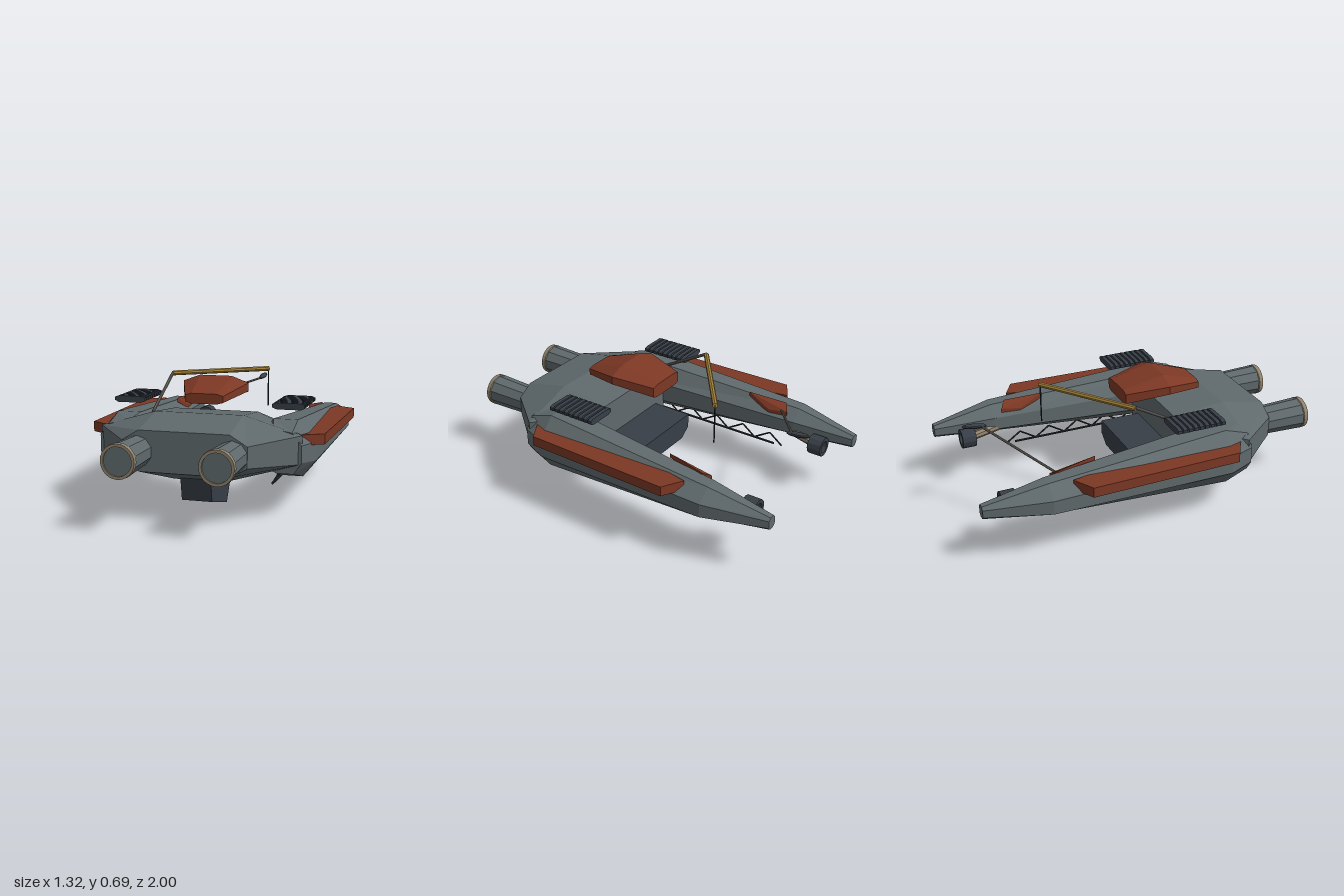
import * as THREE from 'three';
import { ConvexGeometry } from 'three/addons/geometries/ConvexGeometry.js';

const mat = (name, color) => {
  const m = new THREE.MeshStandardMaterial({ color, flatShading: true });
  m.name = name;
  return m;
};
const V = (x, y, z) => new THREE.Vector3(x, y, z);

// Completes a right-hand half outline (bottom to top) with its mirror image
const sym = (half) => [...half, ...half.map(([x, y]) => [-x, y]).reverse()];

// Skins rings of [x, y] points running from front to back; side -1 mirrors in x
function loft(sections, side = 1) {
  const rings = sections.map(([z, pts]) => {
    const r = pts.map(([x, y]) => [x * side, y, z]);
    return side < 0 ? r.reverse() : r;
  });
  const pos = [];
  const tri = (a, b, c) => pos.push(...a, ...b, ...c);
  const n = rings[0].length;
  for (let k = 0; k < rings.length - 1; k++) {
    const f = rings[k], b = rings[k + 1];
    for (let i = 0; i < n; i++) {
      const j = (i + 1) % n;
      tri(f[i], b[i], b[j]);
      tri(f[i], b[j], f[j]);
    }
  }
  const first = rings[0], last = rings[rings.length - 1];
  for (let i = 1; i < n - 1; i++) {
    tri(first[0], first[i], first[i + 1]);
    tri(last[0], last[i + 1], last[i]);
  }
  const g = new THREE.BufferGeometry();
  g.setAttribute('position', new THREE.Float32BufferAttribute(pos, 3));
  g.computeVertexNormals();
  return g;
}

export function createModel() {
  const root = new THREE.Group();
  root.name = 'twinHullCraft';
  const hull = mat('hullGrey', 0x5f696c);
  const dark = mat('darkSlate', 0x373e47);
  const rust = mat('rustRed', 0x7d3824);
  const tan = mat('tanMetal', 0x8f826c);
  const gold = mat('boomGold', 0xa5833a);
  const black = mat('cableBlack', 0x24282c);
  const pole = mat('poleGrey', 0x74706a);

  const add = (name, geo, m, parent = root) => {
    const mesh = new THREE.Mesh(geo, m);
    mesh.name = name;
    parent.add(mesh);
    return mesh;
  };
  // Round bar between two points
  const rod = (name, a, b, r, m, parent = root, r2 = r, sides = 8) => {
    const d = b.clone().sub(a);
    const mesh = add(name, new THREE.CylinderGeometry(r2, r, d.length(), sides), m, parent);
    mesh.position.copy(a).addScaledVector(d, 0.5);
    mesh.quaternion.setFromUnitVectors(V(0, 1, 0), d.normalize());
    return mesh;
  };

  // Central body
  add('mainHull', loft([
    [0.74, sym([[0.24, 0.26], [0.33, 0.31], [0.33, 0.42], [0.24, 0.475]])],
    [0.48, sym([[0.14, 0.17], [0.55, 0.29], [0.55, 0.44], [0.24, 0.53]])],
    [0.18, sym([[0.14, 0.17], [0.32, 0.25], [0.32, 0.47], [0.24, 0.5]])],
  ]), hull);
  const deck = sym([[0.17, 0.17], [0.235, 0.22], [0.235, 0.3]]);
  add('rearDeck', loft([[0.3, deck], [-0.055, deck]]), dark);

  // Keel below the body
  const keelShape = new THREE.Shape([[-0.555, 0.22], [-0.527, 0.07], [-0.25, 0], [-0.13, 0.2]]
    .map(([a, b]) => new THREE.Vector2(a, b)));
  const keelGeo = new THREE.ExtrudeGeometry(keelShape, { depth: 0.166, bevelEnabled: false });
  keelGeo.translate(0, 0, -0.083).rotateY(Math.PI / 2);
  add('keel', keelGeo, dark);

  // Faceted cover over the body
  add('canopy', loft([
    [0.4, sym([[0.07, 0.565], [0.105, 0.575], [0.105, 0.61], [0.07, 0.62]])],
    [0.18, sym([[0.1, 0.595], [0.185, 0.61], [0.185, 0.655], [0.09, 0.69]])],
    [-0.055, sym([[0.09, 0.56], [0.12, 0.57], [0.12, 0.625], [0.08, 0.635]])],
  ]), rust);

  for (const s of [1, -1]) {
    const side = new THREE.Group();
    side.name = s > 0 ? 'leftSide' : 'rightSide';
    root.add(side);

    // Long side hull tapering to the rear
    add('pontoon', loft([
      [0.5, [[0.42, 0.24], [0.51, 0.24], [0.55, 0.3], [0.55, 0.39], [0.5, 0.455], [0.4, 0.47], [0.3, 0.39], [0.3, 0.3]]],
      [0.36, [[0.4, 0.2], [0.53, 0.2], [0.6, 0.29], [0.6, 0.39], [0.5, 0.5], [0.37, 0.5], [0.3, 0.4], [0.3, 0.28]]],
      [-0.66, [[0.45, 0.26], [0.54, 0.26], [0.6, 0.295], [0.6, 0.37], [0.52, 0.43], [0.45, 0.43], [0.385, 0.37], [0.385, 0.3]]],
      [-1, [[0.455, 0.29], [0.485, 0.29], [0.5, 0.305], [0.5, 0.345], [0.485, 0.36], [0.455, 0.36], [0.44, 0.345], [0.44, 0.305]]],
    ], s), hull, side);

    // Outer armour slab
    const slab = [[0.52, 0.445], [0.645, 0.37], [0.66, -0.47], [0.545, -0.535], [0.5, -0.3]];
    add('armourSlab', new ConvexGeometry(slab.flatMap(([x, z]) =>
      [V(s * x, 0.38, z), V(s * x, 0.435, z)])), rust, side);

    // Small inner plate near the tail
    const plate = [[0.4, 0.4, -0.61], [0.448, 0.43, -0.58], [0.41, 0.45, -0.36], [0.385, 0.39, -0.5]];
    add('innerPlate', new ConvexGeometry(plate.flatMap(([x, y, z]) =>
      [V(s * x, y - 0.01, z), V(s * x, y + 0.015, z)])), rust, side);

    // Front engine with round rim and lens
    rod('engineBody', V(s * 0.25, 0.365, 0.55), V(s * 0.25, 0.365, 0.98), 0.076, hull, side, 0.09, 10);
    const rim = add('engineRim', new THREE.LatheGeometry([[0.074, 0.97], [0.074, 1], [0.089, 1], [0.091, 0.975], [0.086, 0.97]]
      .map(([r, y]) => new THREE.Vector2(r, y)).reverse(), 24), tan, side);
    rim.material.side = THREE.DoubleSide;
    rim.rotation.x = Math.PI / 2;
    rim.position.set(s * 0.25, 0.365, 0);
    rod('engineLens', V(s * 0.25, 0.365, 0.97), V(s * 0.25, 0.365, 0.992), 0.076, hull, side, 0.076, 24);

    // Slatted radiator
    const slat = [[0.38, 0.545], [0.51, 0.545], [0.53, 0.555], [0.53, 0.572], [0.51, 0.58], [0.38, 0.58], [0.355, 0.572], [0.355, 0.555]];
    for (let i = 0; i < 9; i++) {
      const z = 0.34 - i * 0.0322;
      add('radiatorSlat', loft([[z, slat], [z - 0.022, slat]], s), dark, side);
    }
    const core = add('radiatorCore', new THREE.BoxGeometry(0.16, 0.016, 0.27), dark, side);
    core.position.set(s * 0.443, 0.56, 0.2);

    // Ducted tail thruster on a strut
    const duct = add('thrusterRing', new THREE.LatheGeometry([[0.034, -0.04], [0.055, -0.04], [0.055, 0.04], [0.034, 0.04], [0.034, -0.04]]
      .map(([r, y]) => new THREE.Vector2(r, y)), 12), dark, side);
    duct.rotation.x = Math.PI / 2;
    duct.position.set(s * 0.367, 0.29, -0.83);
    rod('thrusterStrut', V(s * 0.42, 0.31, -0.58), V(s * 0.37, 0.29, -0.81), 0.024, tan, side);

    // Landing rail with braces under the side hull
    rod('landingRail', V(s * 0.4, 0.187, 0.5), V(s * 0.4, 0.187, -0.54), 0.007, black, side, 0.007, 6);
    for (let z = 0.4; z > -0.5; z -= 0.18) {
      for (const dz of [-0.09, 0.09]) {
        rod('railBrace', V(s * 0.4, 0.187, z + dz), V(s * 0.42, 0.235, z), 0.005, black, side, 0.005, 5);
      }
    }
  }

  // Crane: leaning post, boom and hanging cable
  rod('cranePost', V(-0.35, 0.48, 0.23), V(-0.345, 0.66, -0.1), 0.009, pole);
  rod('craneBoom', V(-0.345, 0.655, -0.1), V(0.14, 0.655, -0.46), 0.015, gold);
  rod('craneCable', V(0.138, 0.655, -0.458), V(0.138, 0.43, -0.458), 0.004, black);

  // Tail mast with paddle sensor
  rod('sensorMast', V(-0.41, 0.41, -0.57), V(0, 0.545, -0.845), 0.007, pole);
  const paddle = add('sensorPaddle', new THREE.SphereGeometry(1, 10, 6), dark);
  paddle.scale.set(0.021, 0.013, 0.07);
  paddle.rotation.x = 0.12;
  paddle.position.set(0, 0.552, -0.88);

  return root;
}
